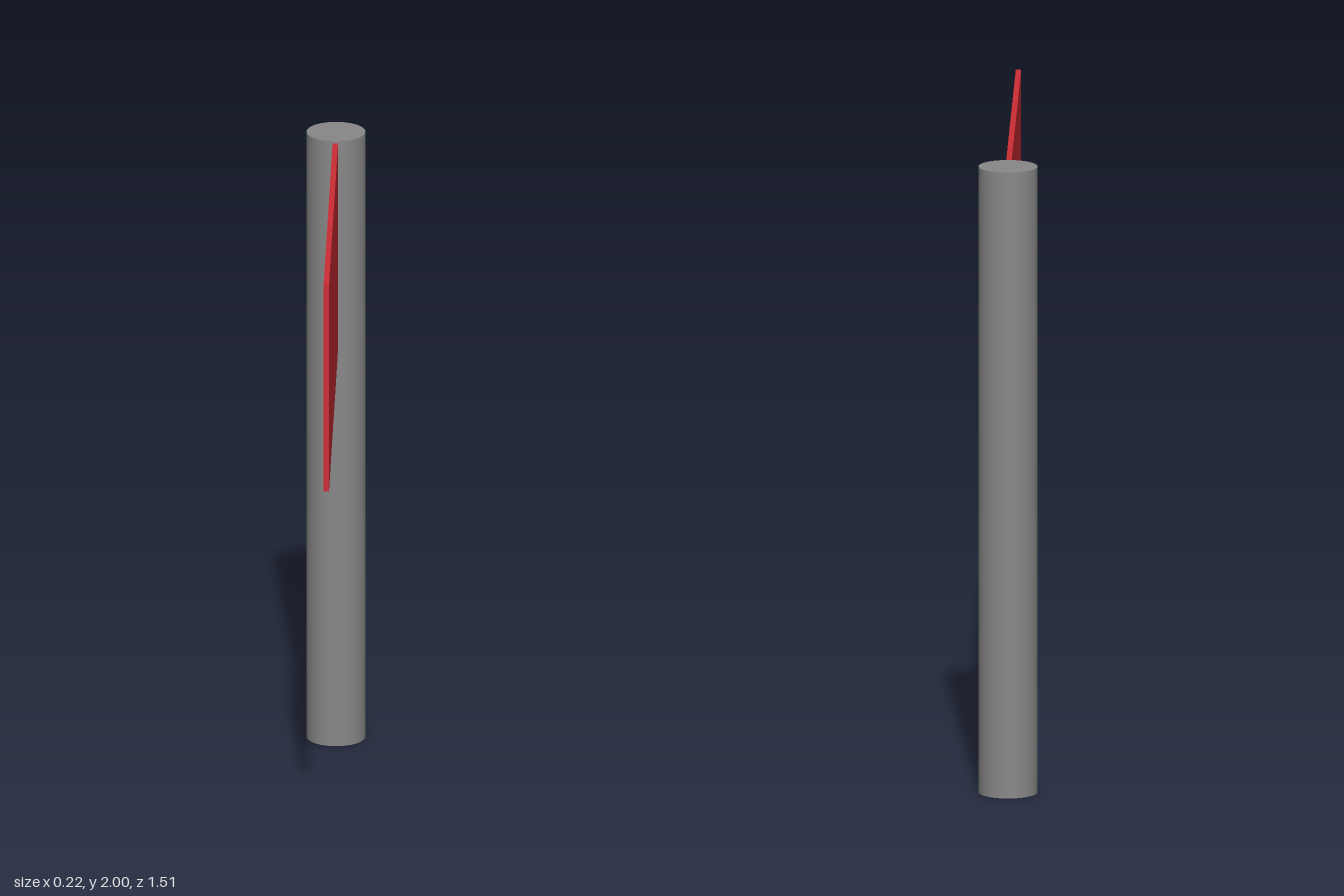
import * as THREE from 'three';

export function createModel() {
  const model = new THREE.Group();
  model.name = 'flagOnPole';

  // Round upright pole
  const poleHeight = 2, poleRadius = 0.092;
  const pole = new THREE.Mesh(
    new THREE.CylinderGeometry(poleRadius, poleRadius, poleHeight, 48),
    new THREE.MeshStandardMaterial({ color: 0x888888 })
  );
  pole.name = 'pole';
  pole.position.set(0.014, poleHeight / 2, -0.664);
  model.add(pole);

  // Stiff flag panel, running forward from the pole and turned slightly to the right
  const start = new THREE.Vector2(0.007, -0.58); // x, z where it meets the pole
  const end = new THREE.Vector2(-0.101, 0.755); // x, z of the free edge
  const bottom = 1.31, top = 1.993;
  const flag = new THREE.Mesh(
    new THREE.BoxGeometry(0.017, top - bottom, start.distanceTo(end)),
    new THREE.MeshStandardMaterial({ color: 0xcc2c35 })
  );
  flag.name = 'flag';
  flag.position.set((start.x + end.x) / 2, (bottom + top) / 2, (start.y + end.y) / 2);
  flag.rotation.y = Math.atan2(end.x - start.x, end.y - start.y);
  model.add(flag);

  return model;
}
